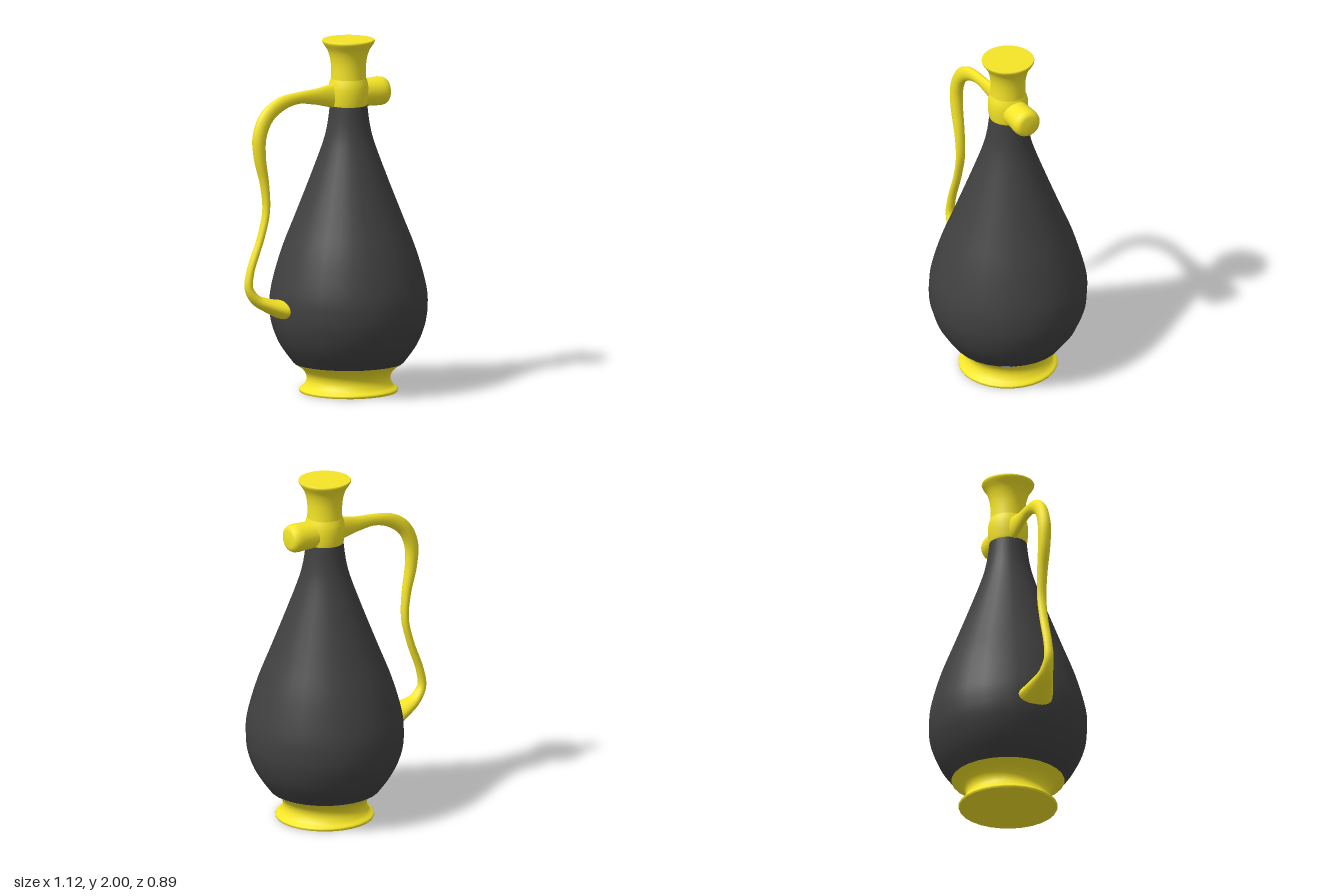
import * as THREE from 'three';

const AXIS_X = 0.11; // the vessel's axis; the handle reaches out towards -x
const SIDES = 28;
const gold = new THREE.MeshStandardMaterial({ color: 0xf5e527 });
const dark = new THREE.MeshStandardMaterial({ color: 0x404040 });

const v2 = ([x, y]) => new THREE.Vector2(x, y);

function mesh(name, geometry, material) {
  const m = new THREE.Mesh(geometry, material);
  m.name = name;
  return m;
}

// Smooth turned profile of [radius, height] points
function turned(points, steps) {
  const curve = new THREE.SplineCurve(points.map(v2));
  return new THREE.LatheGeometry(curve.getPoints(steps), SIDES);
}

// Flat round lid, facing up (1) or down (-1)
function lid(name, radius, y, dir) {
  const m = mesh(name, new THREE.CircleGeometry(radius, SIDES), gold);
  m.rotation.x = -dir * Math.PI / 2;
  m.position.y = y;
  return m;
}

// Sweep of ellipses along a path in the xy plane; rows are [x, y, half width, half depth]
function sweep(rows, steps, sides) {
  const path = new THREE.CatmullRomCurve3(rows.map(([x, y]) => new THREE.Vector3(x, y, 0)));
  const size = new THREE.CatmullRomCurve3(rows.map(([, , w, d]) => new THREE.Vector3(w, d, 0)));
  const pos = [], index = [];
  for (let i = 0; i <= steps; i++) {
    const c = path.getPoint(i / steps), t = path.getTangent(i / steps), s = size.getPoint(i / steps);
    for (let j = 0; j < sides; j++) {
      const a = (j / sides) * Math.PI * 2, w = Math.cos(a) * s.x;
      pos.push(c.x - t.y * w, c.y + t.x * w, Math.sin(a) * s.y);
      if (i === steps) continue;
      const k = (j + 1) % sides, p = i * sides, q = p + sides;
      index.push(p + j, p + k, q + j, p + k, q + k, q + j);
    }
  }
  const g = new THREE.BufferGeometry();
  g.setAttribute('position', new THREE.Float32BufferAttribute(pos, 3));
  g.setIndex(index);
  g.computeVertexNormals();
  return g;
}

export function createModel() {
  const model = new THREE.Group();
  model.name = 'ewer';

  const vessel = new THREE.Group();
  vessel.name = 'vessel';
  vessel.position.x = AXIS_X;
  model.add(vessel);

  // Pear-shaped body
  vessel.add(mesh('body', turned([
    [0.31, 0.165], [0.385, 0.27], [0.43, 0.38], [0.445, 0.48], [0.436, 0.6], [0.38, 0.8],
    [0.302, 1.0], [0.224, 1.2], [0.15, 1.4], [0.121, 1.51], [0.105, 1.63],
  ], 48), dark));

  // Waisted foot
  vessel.add(mesh('foot', turned([
    [0.275, 0], [0.278, 0.015], [0.252, 0.035], [0.236, 0.07], [0.242, 0.105], [0.27, 0.138], [0.318, 0.168],
  ], 24), gold));
  vessel.add(lid('footBase', 0.275, 0, -1));

  // Collar bulging around the neck
  vessel.add(mesh('collar', turned([
    [0.1, 1.615], [0.107, 1.635], [0.113, 1.69], [0.111, 1.74], [0.1, 1.78],
  ], 14), gold));

  // Neck flaring to a closed lip
  vessel.add(mesh('neck', turned([
    [0.1, 1.75], [0.098, 1.83], [0.103, 1.89], [0.118, 1.94], [0.143, 1.98], [0.148, 1.993], [0.146, 2],
  ], 24), gold));
  vessel.add(lid('stopper', 0.146, 2, 1));

  // Stubby spout with a rounded end
  const spout = mesh('spout', new THREE.LatheGeometry([
    [0.08, 0], [0.078, 0.1], [0.08, 0.16], [0.082, 0.195], [0.078, 0.22], [0.068, 0.236], [0.05, 0.244], [0, 0.246],
  ].map(v2), 24), gold);
  spout.rotation.z = -Math.PI / 2;
  spout.position.y = 1.69;
  vessel.add(spout);

  // Curved handle, from the collar down to its wide root on the body
  model.add(mesh('handle', sweep([
    [0.07, 1.69, 0.075, 0.05], [0.0, 1.69, 0.067, 0.033], [-0.1, 1.693, 0.046, 0.025], [-0.22, 1.695, 0.034, 0.025],
    [-0.33, 1.67, 0.04, 0.028], [-0.42, 1.605, 0.043, 0.033], [-0.467, 1.5, 0.041, 0.036], [-0.466, 1.38, 0.035, 0.035],
    [-0.435, 1.22, 0.025, 0.03], [-0.425, 1.07, 0.02, 0.027], [-0.46, 0.92, 0.02, 0.025], [-0.525, 0.74, 0.022, 0.025],
    [-0.537, 0.64, 0.024, 0.028], [-0.49, 0.57, 0.03, 0.043], [-0.41, 0.53, 0.041, 0.073], [-0.33, 0.503, 0.053, 0.1],
    [-0.24, 0.485, 0.055, 0.11],
  ], 96, 16), gold));

  return model;
}
